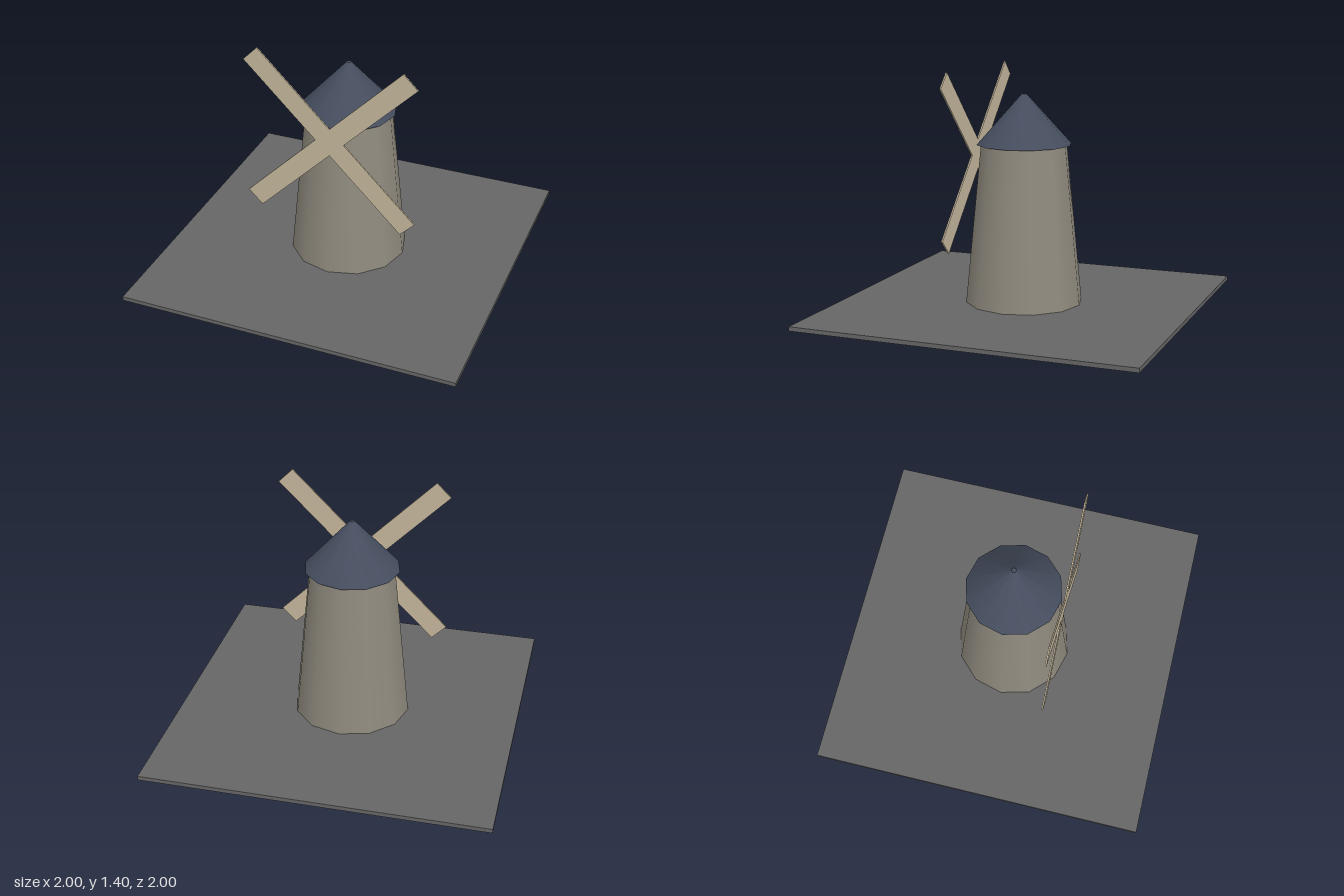
import * as THREE from 'three';

function material(name, color) {
  const m = new THREE.MeshStandardMaterial({ color });
  m.name = name;
  return m;
}

export function createModel() {
  const stone = material('stone', 0x8f8a7e);
  const slate = material('slate', 0x454d5e);
  const wood = material('pale wood', 0xc5b79c);
  const ground = material('ground grey', 0x666666);

  const model = new THREE.Group();
  model.name = 'windmill';

  const add = (name, geometry, mat, x, y, z, parent = model) => {
    const mesh = new THREE.Mesh(geometry, mat);
    mesh.name = name;
    mesh.position.set(x, y, z);
    parent.add(mesh);
    return mesh;
  };

  // Square ground slab
  add('groundSlab', new THREE.BoxGeometry(2, 0.025, 2), ground, 0, 0.0125, 0);

  // Tapered twelve-sided tower, smooth shaded
  const bottom = 0.025, eaves = 0.957, peak = 1.25;
  add('tower', new THREE.CylinderGeometry(0.253, 0.345, eaves - bottom, 12),
    stone, 0, (bottom + eaves) / 2, 0);

  // Overhanging cap with a tiny flat tip
  add('roof', new THREE.CylinderGeometry(0.014, 0.279, peak - eaves, 12),
    slate, 0, (eaves + peak) / 2, 0);

  // Four sails: two thin crossed boards
  const sails = new THREE.Group();
  sails.name = 'sails';
  sails.position.set(0, 0.885, 0.295);
  for (const side of [1, -1]) {
    const board = add('sailBoard', new THREE.BoxGeometry(1.33, 0.12, 0.009), wood, 0, 0, 0, sails);
    board.rotation.z = side * Math.PI / 4;
  }
  model.add(sails);

  return model;
}
